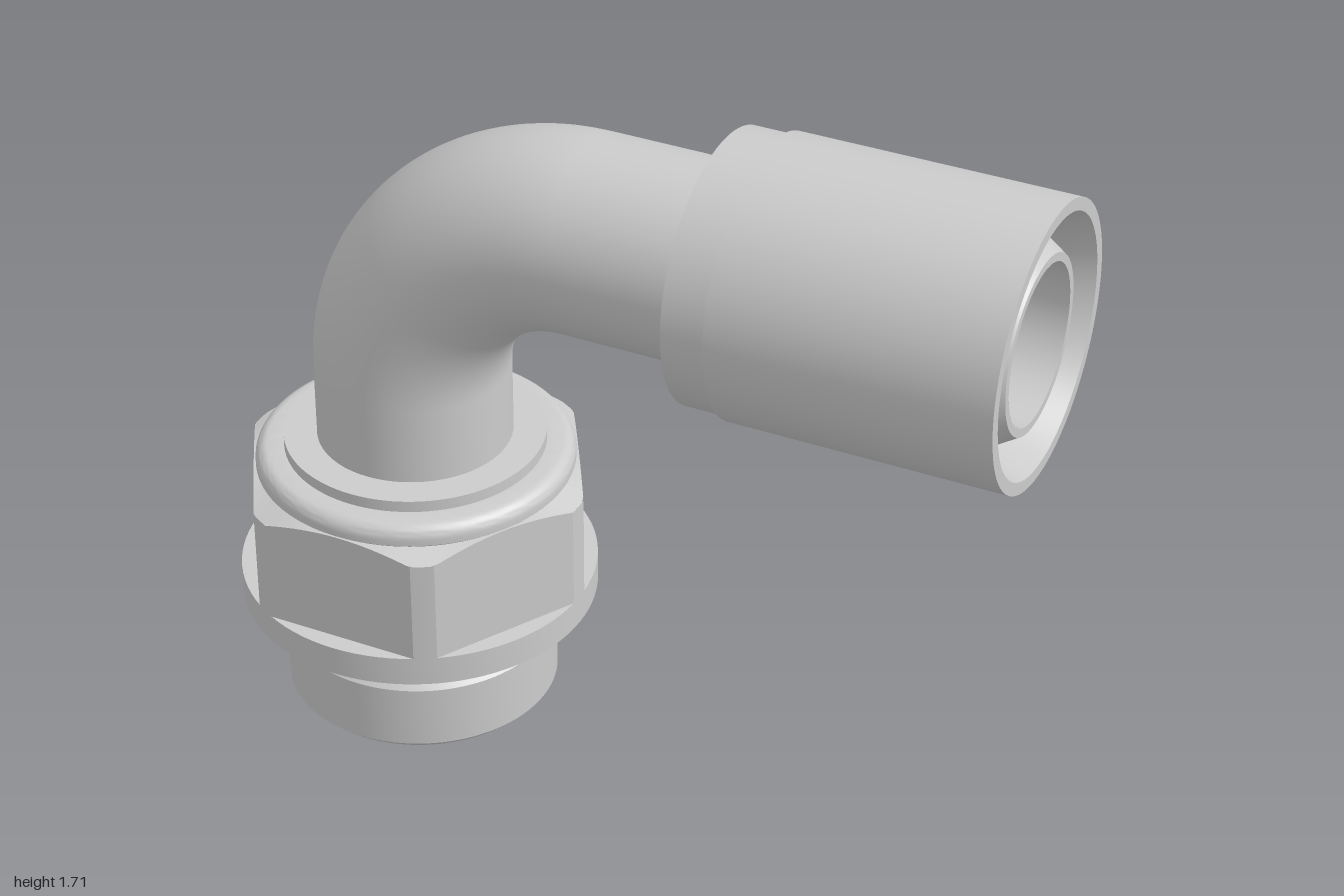
import * as THREE from 'three';
import { toCreasedNormals } from 'three/addons/utils/BufferGeometryUtils.js';

const AXIS_X = -0.565, AXIS_Y = 1.38, BEND = 0.465;
const FLAT = 0.39, CORNER = 0.435, HEX_LOW = 0.355, HEX_TOP = 0.645;
const material = new THREE.MeshStandardMaterial({ color: 0xcccccc, side: THREE.DoubleSide });

// Centre line: straight up, a quarter bend, then straight along +x
class ElbowCurve extends THREE.Curve {
  constructor(startY, endX) {
    super();
    this.startY = startY;
    this.rise = AXIS_Y - BEND - startY;
    this.arc = BEND * Math.PI / 2;
    this.run = endX - AXIS_X - BEND;
  }
  getPoint(t, target = new THREE.Vector3()) {
    const s = t * (this.rise + this.arc + this.run);
    if (s < this.rise) return target.set(AXIS_X, this.startY + s, 0);
    if (s > this.rise + this.arc) {
      return target.set(AXIS_X + BEND + s - this.rise - this.arc, AXIS_Y, 0);
    }
    const a = (s - this.rise) / BEND;
    return target.set(AXIS_X + BEND * (1 - Math.cos(a)), AXIS_Y - BEND + BEND * Math.sin(a), 0);
  }
}

function add(parent, name, geometry) {
  const mesh = new THREE.Mesh(geometry, material);
  mesh.name = name;
  parent.add(mesh);
  return mesh;
}

function turned(profile, segments = 96) {
  const points = profile.map(([r, y]) => new THREE.Vector2(r, y));
  return toCreasedNormals(new THREE.LatheGeometry(points, segments), 0.5);
}

// Height of the chamfered nut edge at a given distance from the axis
const chamferY = (r) => HEX_TOP - 0.55 * (r - FLAT);

function createNut() {
  const nut = new THREE.Group();
  nut.name = 'hexNut';
  const half = Math.sqrt(CORNER ** 2 - FLAT ** 2);
  const cut = Math.acos(FLAT / CORNER);
  const holeX = 0.12, holeY = 0.51, holeR = 0.043;

  for (let k = 0; k < 6; k++) {
    // Flat with an arched top edge; the rear one is drilled
    const shape = new THREE.Shape();
    shape.moveTo(-half, HEX_LOW);
    shape.lineTo(half, HEX_LOW);
    for (let i = 0; i <= 16; i++) {
      const x = half * (1 - i / 8);
      shape.lineTo(x, chamferY(Math.hypot(x, FLAT)));
    }
    if (k === 3) shape.holes.push(new THREE.Path().absarc(holeX, holeY, holeR, 0, Math.PI * 2, true));
    const side = new THREE.Group();
    side.name = 'nutSide';
    side.rotation.y = k * Math.PI / 3;
    nut.add(side);
    add(side, 'nutFlat', new THREE.ShapeGeometry(shape, 24)).position.z = FLAT;

    // Rounded corner strip
    const top = chamferY(CORNER);
    add(side, 'nutCorner', new THREE.CylinderGeometry(CORNER, CORNER, top - HEX_LOW, 6, 1, true,
      cut, Math.PI / 3 - 2 * cut)).position.y = (top + HEX_LOW) / 2;

    if (k === 3) {
      const bore = add(side, 'drillHole', new THREE.CylinderGeometry(holeR, holeR, 0.1, 32, 1, true));
      bore.rotation.x = Math.PI / 2;
      bore.position.set(holeX, holeY, FLAT - 0.05);
      add(side, 'drillHoleFloor', new THREE.CircleGeometry(holeR, 32)).position.set(holeX, holeY, FLAT - 0.1);
    }
  }

  // Conical chamfer, its outer edge following the hexagon
  const chamfer = new THREE.LatheGeometry(
    [new THREE.Vector2(CORNER, 0.62), new THREE.Vector2(0.37, HEX_TOP)], 144);
  const p = chamfer.attributes.position;
  for (let i = 0; i < p.count; i += 2) {
    const angle = Math.atan2(p.getX(i), p.getZ(i));
    const off = angle - Math.round(angle / (Math.PI / 3)) * Math.PI / 3;
    const r = Math.min(CORNER, FLAT / Math.cos(off));
    p.setXYZ(i, r * Math.sin(angle), chamferY(r), r * Math.cos(angle));
  }
  chamfer.computeVertexNormals();
  add(nut, 'nutChamfer', chamfer);
  return nut;
}

export function createModel() {
  const model = new THREE.Group();
  model.name = 'elbowFitting';

  // Bent pipe and its through bore
  add(model, 'bentPipe', new THREE.TubeGeometry(new ElbowCurve(0.6, 0.93), 140, 0.235, 64));
  add(model, 'pipeBore', new THREE.TubeGeometry(new ElbowCurve(0.02, 0.98), 140, 0.185, 64));

  // Everything turned about the upright axis
  const base = new THREE.Group();
  base.name = 'base';
  base.position.x = AXIS_X;
  model.add(base);
  add(base, 'spigotAndFlange', turned([
    [0.185, 0.02], [0.205, 0], [0.313, 0], [0.333, 0.02], [0.333, 0.18], [0.31, 0.205],
    [0.31, 0.325], [0.385, 0.325], [0.385, 0.28], [CORNER, 0.28], [CORNER, HEX_LOW], [0.36, HEX_LOW],
  ]));
  base.add(createNut());

  // Collar with a rounded shoulder and a small raised ring
  const collar = [[0.37, 0.63], [0.385, 0.645]];
  for (let i = 0; i <= 8; i++) {
    const a = i / 8 * Math.PI / 2;
    collar.push([0.35 + 0.035 * Math.cos(a), 0.658 + 0.035 * Math.sin(a)]);
  }
  collar.push([0.315, 0.693], [0.315, 0.722], [0.23, 0.722]);
  add(base, 'collar', turned(collar));

  // Sleeve and nipple, turned about the level axis
  const end = new THREE.Group();
  end.name = 'hoseEnd';
  end.position.y = AXIS_Y;
  end.rotation.z = -Math.PI / 2;
  model.add(end);
  add(end, 'sleeve', turned([
    [0.23, 0.23], [0.32, 0.23], [0.32, 0.335], [0.33, 0.335], [0.33, 1],
    [0.3, 1], [0.265, 0.9], [0.23, 0.9],
  ]));
  add(end, 'nippleTip', turned([[0.235, 0.93], [0.205, 0.98], [0.185, 0.98]]));

  return model;
}
